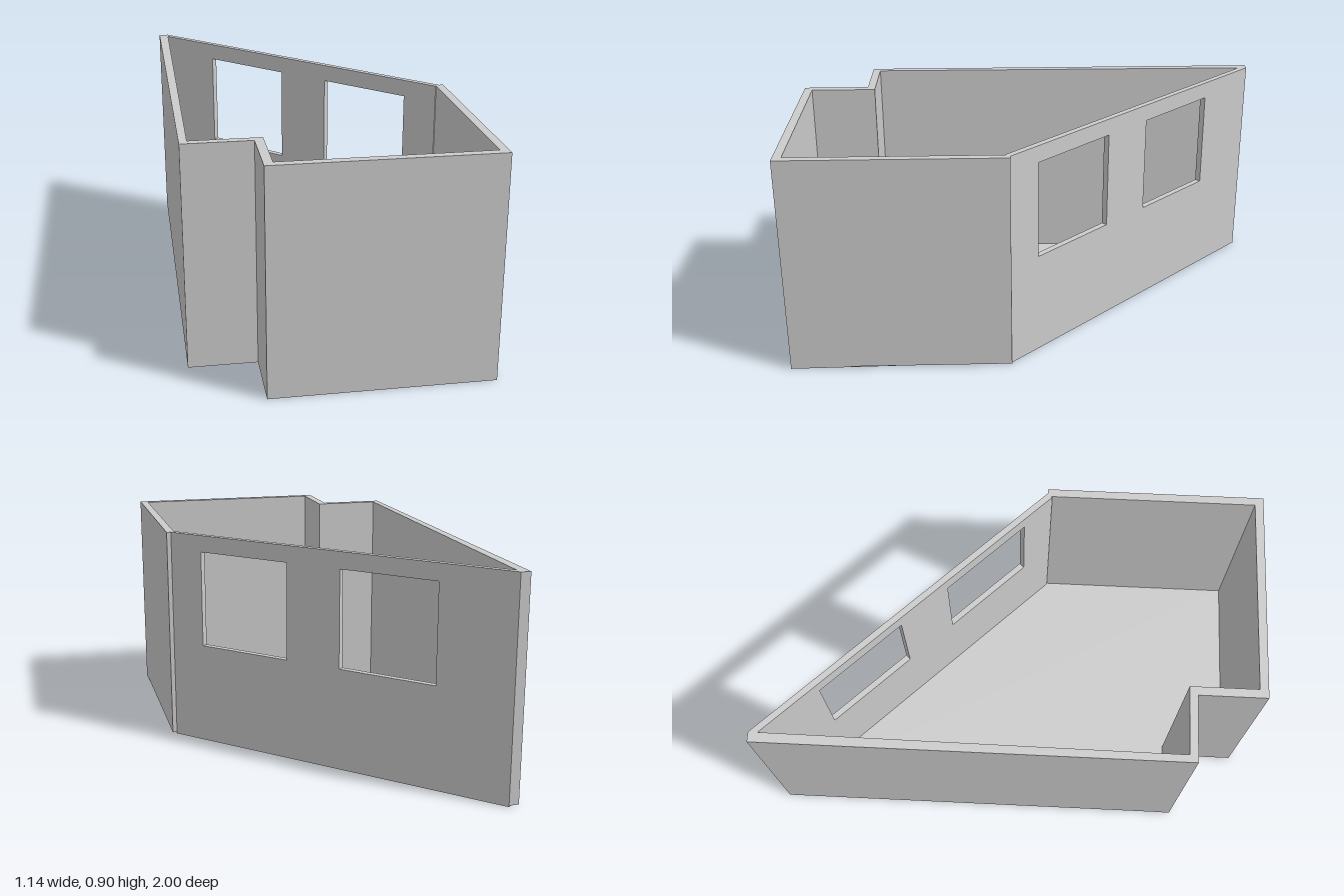
import * as THREE from 'three';

const HEIGHT = 0.9, FLOOR = 0.006;

// Extrude a plan outline given as [x, z] pairs upward from y0 to y1
function extrudePlan(points, y0, y1) {
  const shape = new THREE.Shape(points.map(([x, z]) => new THREE.Vector2(x, -z)));
  const geometry = new THREE.ExtrudeGeometry(shape, { depth: y1 - y0, bevelEnabled: false });
  return geometry.rotateX(-Math.PI / 2).translate(0, y0, 0);
}

function rectangle(path, x0, y0, x1, y1) {
  path.moveTo(x0, y0).lineTo(x1, y0).lineTo(x1, y1).lineTo(x0, y1).closePath();
  return path;
}

export function createModel() {
  const model = new THREE.Group();
  model.name = 'roomShell';
  const material = new THREE.MeshStandardMaterial({ color: 0xcccccc, flatShading: true, side: THREE.DoubleSide });

  function add(name, geometry) {
    const mesh = new THREE.Mesh(geometry, material);
    mesh.name = name;
    model.add(mesh);
    return mesh;
  }

  // Thin floor slab
  add('floor', extrudePlan([
    [-0.53, -1], [-0.57, 0.725], [-0.3, 0.725], [-0.3, 1], [0.568, 1], [0.55, 0.11],
  ], 0, FLOOR));

  // Straight walls, with the notch at the front corner
  add('straightWalls', extrudePlan([
    [-0.57, -1], [-0.57, 0.725], [-0.3, 0.725], [-0.3, 1], [0.568, 1], [0.568, 0.11],
    [0.535, 0.11], [0.535, 0.965], [-0.265, 0.965], [-0.265, 0.692], [-0.54, 0.692], [-0.53, -1],
  ], FLOOR, HEIGHT));

  // Slanted wall with two window openings
  const start = new THREE.Vector2(-0.53, -1), end = new THREE.Vector2(0.55, 0.11);
  const run = end.clone().sub(start), length = run.length();
  const along = (z) => (z - start.y) * length / run.y;
  const wall = rectangle(new THREE.Shape(), 0, 0, length, HEIGHT);
  for (const [z0, z1] of [[-0.775, -0.475], [-0.3, 0]]) {
    wall.holes.push(rectangle(new THREE.Path(), along(z0), 0.425, along(z1), 0.83));
  }
  const slanted = add('windowWall', new THREE.ExtrudeGeometry(wall, { depth: 0.026, bevelEnabled: false }));
  slanted.position.set(start.x, 0, start.y);
  slanted.rotation.y = -run.angle();

  return model;
}
